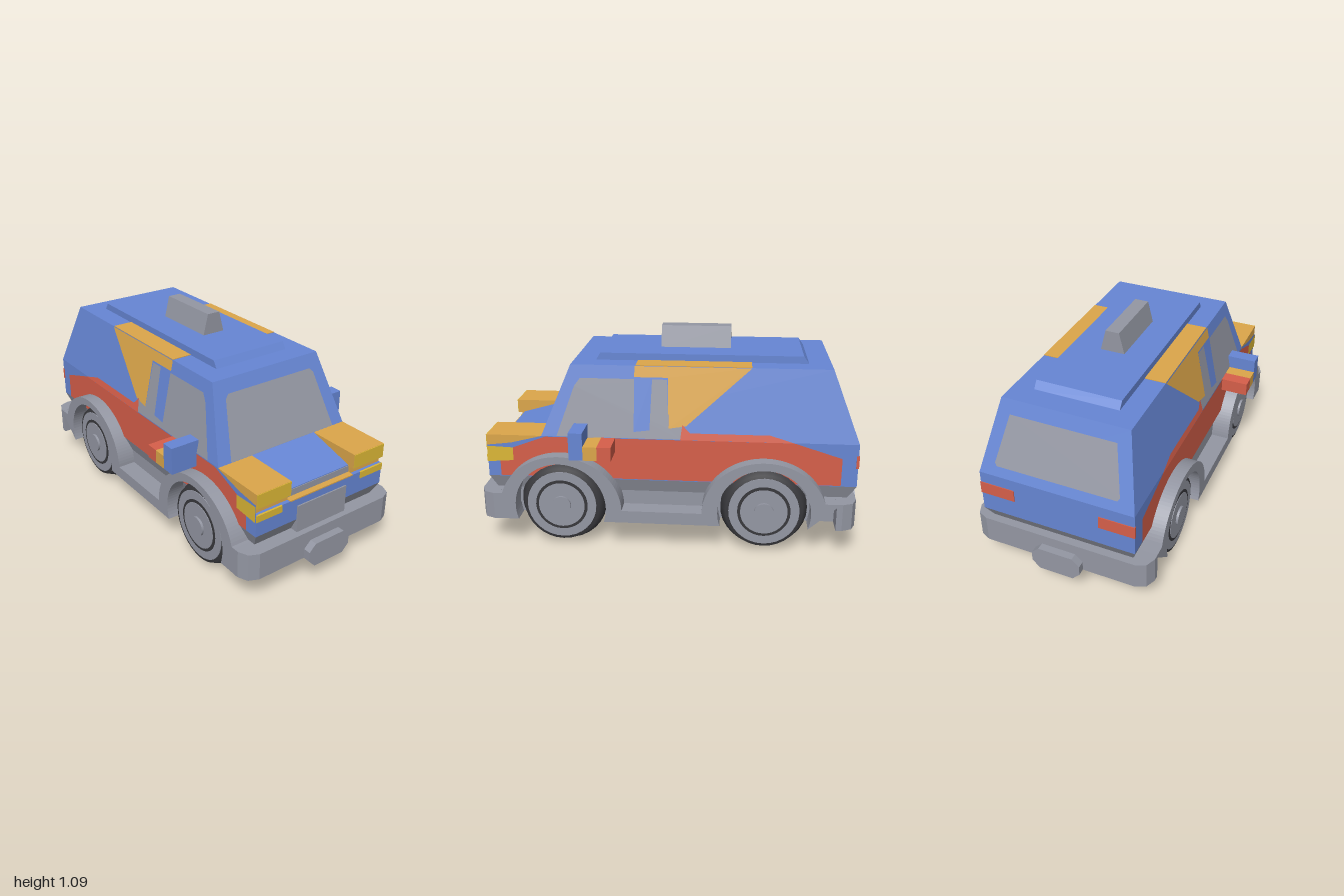
import * as THREE from 'three';

const mat = (name, color) => {
  const m = new THREE.MeshStandardMaterial({ color });
  m.name = name;
  return m;
};

export function createModel() {
  const root = new THREE.Group();
  root.name = 'van';
  const blue = mat('blue paint', 0x6686d4);
  const grey = mat('grey', 0x9497a3);
  const red = mat('red paint', 0xd65f4a);
  const orange = mat('orange paint', 0xdca64a);
  const yellow = mat('yellow lamp', 0xdcb736);
  const black = mat('tyre black', 0x38383c);

  const add = (name, geo, material, parent = root) => {
    const m = new THREE.Mesh(geo, material);
    m.name = name;
    parent.add(m);
    return m;
  };
  const box = (name, material, x0, x1, y0, y1, z0, z1) =>
    add(name, new THREE.BoxGeometry(x1 - x0, y1 - y0, z1 - z0)
      .translate((x0 + x1) / 2, (y0 + y1) / 2, (z0 + z1) / 2), material);
  // Tapered block: each end is [half width, y, back z, front z]
  const block = (name, material, low, high) => {
    const geo = new THREE.BoxGeometry(2, 2, 2).toNonIndexed();
    const p = geo.attributes.position;
    for (let i = 0; i < p.count; i++) {
      const e = p.getY(i) < 0 ? low : high;
      p.setXYZ(i, Math.sign(p.getX(i)) * e[0], e[1], p.getZ(i) < 0 ? e[2] : e[3]);
    }
    geo.computeVertexNormals();
    return add(name, geo, material);
  };
  const shapeOf = pts => new THREE.Shape(pts.map(([u, v]) => new THREE.Vector2(u, v)));
  // Flat painted panel, placed on the body by a mapping (u, v) -> [x, y, z]
  const panel = (name, material, pts, map, flip) => {
    const geo = new THREE.ShapeGeometry(shapeOf(pts));
    const p = geo.attributes.position;
    for (let i = 0; i < p.count; i++) p.setXYZ(i, ...map(p.getX(i), p.getY(i)));
    if (flip) geo.setIndex(Array.from(geo.index.array).reverse());
    geo.computeVertexNormals();
    return add(name, geo, material);
  };
  const sideX = y => (y <= 0.585 ? 0.4 : 0.4 - (y - 0.585) * 0.075 / 0.36);
  const sidePanels = (name, material, pts, lift = 0.003) => {
    for (const s of [-1, 1])
      panel(name, material, pts, (z, y) => [s * (sideX(y) + lift), y, z], s > 0);
  };

  // Body shell
  block('lowerSkirt', grey, [0.375, 0.29, -0.92, 0.89], [0.4, 0.36, -0.96, 0.925]);
  block('sill', grey, [0.375, 0.2, -0.9, 0.88], [0.375, 0.29, -0.92, 0.89]);
  box('lowerBody', blue, -0.4, 0.4, 0.36, 0.585, -0.96, 0.64);
  block('cabin', blue, [0.4, 0.585, -0.96, 0.64], [0.325, 0.945, -0.82, 0.49]);
  box('nose', blue, -0.4, 0.4, 0.36, 0.475, 0.64, 0.925);
  block('hood', blue, [0.2, 0.475, 0.64, 0.89], [0.2, 0.513, 0.64, 0.89]);
  const hoodGeo = new THREE.ExtrudeGeometry(
    shapeOf([[0.64, 0.51], [0.89, 0.51], [0.89, 0.515], [0.64, 0.585]]),
    { depth: 0.4, bevelEnabled: false });
  add('hoodSlope', hoodGeo.rotateY(-Math.PI / 2).translate(0.2, 0, 0), blue);
  box('noseSlot', grey, -0.2, 0.2, 0.475, 0.511, 0.885, 0.894);
  box('noseLedge', orange, -0.2, 0.2, 0.472, 0.478, 0.89, 0.926);
  box('grille', grey, -0.155, 0.155, 0.29, 0.435, 0.88, 0.932);

  // Headlights
  for (const s of [-1, 1]) {
    const lamp = (name, m, a, b, ...r) =>
      box(name, m, Math.min(s * a, s * b), Math.max(s * a, s * b), ...r);
    lamp('headlightHousing', orange, 0.2, 0.4, 0.51, 0.585, 0.64, 0.925);
    lamp('headlightLens', yellow, 0.201, 0.399, 0.511, 0.584, 0.924, 0.929);
    lamp('headlightBase', orange, 0.2, 0.4, 0.475, 0.51, 0.64, 0.905);
    lamp('indicator', yellow, 0.25, 0.4, 0.44, 0.475, 0.92, 0.93);
    // Door mirrors
    lamp('mirror', blue, 0.39, 0.545, 0.515, 0.655, 0.4, 0.47);
    lamp('mirrorArm', orange, 0.39, 0.545, 0.515, 0.585, 0.33, 0.4);
    lamp('mirrorArmTip', red, 0.39, 0.545, 0.515, 0.585, 0.26, 0.33);
    // Tail lights
    lamp('tailLight', red, 0.22, 0.402, 0.46, 0.525, -0.964, -0.95);
  }

  // Side paint, lower half
  sidePanels('noseSide', blue, [[0.64, 0.585], [0.8, 0.545], [0.925, 0.53], [0.925, 0.475],
    [0.64, 0.475]], 0.002);
  sidePanels('redSide', red, [[0.86, 0.365], [0.86, 0.45], [0.79, 0.52], [0.62, 0.583],
    [-0.64, 0.585], [-0.88, 0.51], [-0.88, 0.365]], 0.004);
  sidePanels('sideLamp', yellow, [[0.925, 0.44], [0.925, 0.525], [0.79, 0.52], [0.79, 0.45]], 0.006);
  // Side paint, upper half
  sidePanels('redSideTop', red, [[-0.07, 0.585], [-0.08, 0.66], [-0.12, 0.62], [-0.52, 0.62],
    [-0.64, 0.585]], 0.004);
  sidePanels('sideWindow', grey, [[0.56, 0.587], [0.47, 0.84], [0.44, 0.88], [0.0, 0.88],
    [-0.01, 0.64], [-0.08, 0.655], [-0.075, 0.587]]);
  sidePanels('doorPillar', blue, [[0.165, 0.62], [0.165, 0.89], [0.075, 0.89], [0.085, 0.63]], 0.006);
  sidePanels('orangeBand', orange, [[0.165, 0.89], [0.165, 0.944], [-0.42, 0.944], [-0.1, 0.655],
    [-0.01, 0.64], [-0.005, 0.89]], 0.004);
  for (const s of [-1, 1])
    box('roofBand', orange, Math.min(s * 0.215, s * 0.325), Math.max(s * 0.215, s * 0.325),
      0.942, 0.948, -0.42, 0.16);

  // Windscreen and rear window
  panel('windscreen', grey, [[-0.325, 0.588], [0.325, 0.588], [0.275, 0.86], [0.255, 0.88],
    [-0.255, 0.88], [-0.275, 0.86]],
  (x, y) => [x, y, 0.644 - (y - 0.585) * 0.15 / 0.36], false);
  panel('rearWindow', grey, [[-0.32, 0.65], [-0.31, 0.635], [0.31, 0.635], [0.32, 0.65],
    [0.27, 0.88], [-0.27, 0.88]],
  (x, y) => [x, y, -0.964 + (y - 0.585) * 0.14 / 0.36], true);

  // Roof
  block('roofPanel', blue, [0.218, 0.94, -0.71, 0.38], [0.218, 0.982, -0.68, 0.355]);
  block('roofFin', grey, [0.064, 0.98, -0.31, 0.055], [0.036, 1.092, -0.31, 0.055]);

  // Chassis floor and bumpers
  box('floor', grey, -0.37, 0.37, 0.15, 0.29, -0.88, 0.88);
  const plate = shapeOf([[-0.09, 0.11], [0.09, 0.11], [0.128, 0.15], [0.128, 0.2], [0.09, 0.237],
    [-0.09, 0.237], [-0.128, 0.2], [-0.128, 0.15]]);
  for (const s of [1, -1]) {
    const end = new THREE.Group();
    end.name = s > 0 ? 'frontBumper' : 'rearBumper';
    end.rotation.y = s > 0 ? 0 : Math.PI;
    root.add(end);
    const plan = shapeOf([[-0.472, -0.86], [-0.472, -0.89], [-0.45, -0.94], [-0.4, -0.962],
      [0.4, -0.962], [0.45, -0.94], [0.472, -0.89], [0.472, -0.86]]);
    add('bumper', new THREE.ExtrudeGeometry(plan, { depth: 0.142, bevelEnabled: false })
      .rotateX(-Math.PI / 2).translate(0, 0.149, 0), grey, end);
    add('bumperPlate', new THREE.ExtrudeGeometry(plate, { depth: 0.05, bevelEnabled: false })
      .translate(0, 0, 0.95), grey, end);
    add('bumperTab', new THREE.BoxGeometry(0.18, 0.05, 0.035).translate(0, 0.135, 0.913), grey, end);
  }

  // Side fenders with wheel arches
  const wheelZ = [-0.5, 0.54];
  const fender = new THREE.Shape();
  fender.moveTo(-0.88, 0.15);
  for (const z of wheelZ) fender.absarc(z, 0.225, 0.235, Math.PI + 0.325, -0.325, true);
  fender.lineTo(0.88, 0.15);
  fender.lineTo(0.88, 0.29);
  fender.absellipse(wheelZ[1], 0.215, 0.315, 0.285, 0.27, Math.PI, false);
  fender.absellipse(wheelZ[0], 0.215, 0.315, 0.285, 0, Math.PI - 0.27, false);
  fender.lineTo(-0.88, 0.29);
  for (const x of [0.472, -0.36])
    add('fender', new THREE.ExtrudeGeometry(fender,
      { depth: 0.112, bevelEnabled: false, curveSegments: 24 })
      .rotateY(-Math.PI / 2).translate(x, 0, 0), grey);

  // Wheels, axle along local y
  const tyre = [[0, -0.128], [0.195, -0.128], [0.225, -0.06], [0.225, 0.06], [0.195, 0.128],
    [0, 0.128]].map(([r, y]) => new THREE.Vector2(r, y));
  for (const s of [-1, 1]) for (const z of wheelZ) {
    const wheel = new THREE.Group();
    wheel.name = 'wheel';
    wheel.position.set(s * 0.308, 0.225, z);
    wheel.rotation.z = -s * Math.PI / 2;
    root.add(wheel);
    add('tyre', new THREE.LatheGeometry(tyre, 32), black, wheel);
    const disc = (name, m, r, top) =>
      add(name, new THREE.CylinderGeometry(r, r, 0.02, 32).translate(0, top - 0.01, 0), m, wheel);
    disc('rim', grey, 0.18, 0.132);
    disc('rimGroove', black, 0.135, 0.135);
    disc('hubDisc', grey, 0.12, 0.138);
    disc('hubCap', grey, 0.05, 0.15);
  }
  return root;
}
